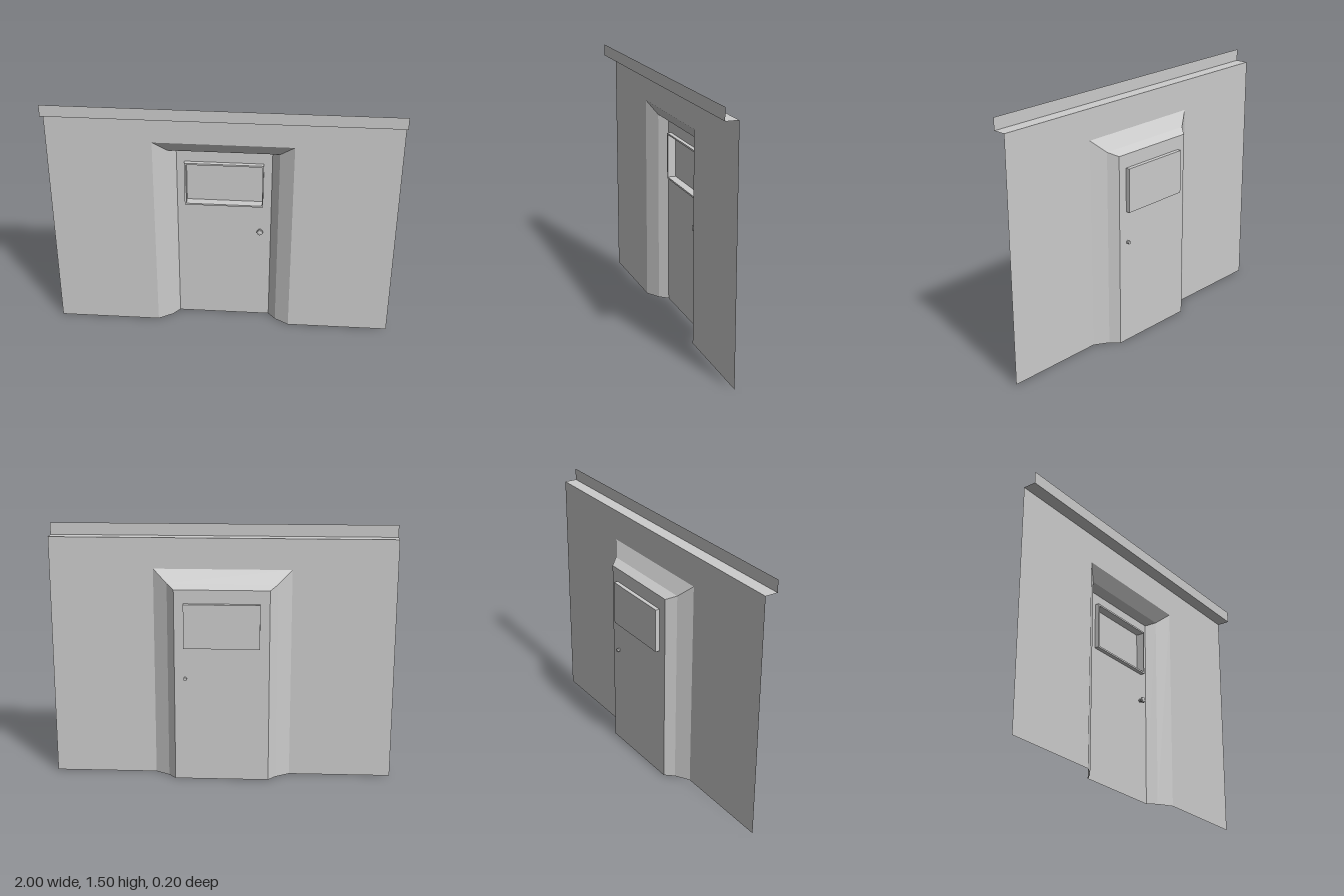
import * as THREE from 'three';

const mat = new THREE.MeshStandardMaterial({ color: 0xcccccc, flatShading: true, side: THREE.DoubleSide });

function add(parent, name, geometry, x = 0, y = 0, z = 0) {
  const mesh = new THREE.Mesh(geometry, mat);
  mesh.name = name;
  mesh.position.set(x, y, z);
  parent.add(mesh);
  return mesh;
}

const polygon = (pts) => new THREE.Shape(pts.map(([x, y]) => new THREE.Vector2(x, y)));
const rect = (x0, y0, x1, y1) => polygon([[x0, y0], [x1, y0], [x1, y1], [x0, y1]]);

// Open sheet joining successive rows of points
function sheet(rows) {
  const pos = [];
  for (let r = 0; r < rows.length - 1; r++) {
    for (let i = 0; i < rows[r].length - 1; i++) {
      const a = rows[r][i], b = rows[r][i + 1], c = rows[r + 1][i + 1], d = rows[r + 1][i];
      pos.push(...a, ...b, ...c, ...a, ...c, ...d);
    }
  }
  const g = new THREE.BufferGeometry();
  g.setAttribute('position', new THREE.Float32BufferAttribute(pos, 3));
  g.computeVertexNormals();
  return g;
}

export function createModel() {
  const model = new THREE.Group();
  model.name = 'wallWithDoor';
  const wallZ = 0.025, doorZ = -0.075, lipZ = 0.1, wallTop = 1.43;

  // Wall sheet with a doorway notch
  add(model, 'wall', new THREE.ShapeGeometry(polygon([
    [-1, 0], [-0.4, 0], [-0.4, 1.25], [0.4, 1.25], [0.4, 0], [1, 0], [1, wallTop], [-1, wallTop],
  ])), 0, 0, wallZ);

  // Ledge and upright lip along the top
  add(model, 'topLedge', sheet([
    [[-1, wallTop, wallZ], [-1, wallTop, lipZ], [-1, 1.5, lipZ]],
    [[1, wallTop, wallZ], [1, wallTop, lipZ], [1, 1.5, lipZ]],
  ]));

  // Splayed surround stepping back to the door
  const arch = ([w, h, z]) => [[-w, 0, z], [-w, h, z], [w, h, z], [w, 0, z]];
  add(model, 'doorSurround', sheet(
    [[0.4, 1.25, wallZ], [0.318, 1.175, -0.025], [0.275, 1.15, doorZ]].map(arch)));

  // Door panel with window opening
  const x0 = -0.22, x1 = 0.22, y0 = 0.81, y1 = 1.07;
  const panel = rect(-0.275, 0, 0.275, 1.15);
  panel.holes.push(rect(x0, y0, x1, y1));
  add(model, 'door', new THREE.ShapeGeometry(panel), 0, 0, doorZ);

  // Raised window frame on the front
  const rim = rect(x0 - 0.01, y0 - 0.01, x1 + 0.007, y1 + 0.01);
  rim.holes.push(rect(x0, y0, x1, y1));
  add(model, 'windowFrame', new THREE.ExtrudeGeometry(rim, { depth: 0.025, bevelEnabled: false }), 0, 0, doorZ);

  // Window recess, standing proud at the back
  const ring = (z) => [[x0, y0, z], [x1, y0, z], [x1, y1, z], [x0, y1, z], [x0, y0, z]];
  add(model, 'windowRecess', sheet([ring(doorZ), ring(-0.1)]));
  add(model, 'windowPane', new THREE.ShapeGeometry(rect(x0, y0, x1, y1)), 0, 0, -0.1);

  // Door knob: spindle through the door, rounded grip in front
  const knob = new THREE.Group();
  knob.name = 'doorKnob';
  knob.position.set(0.212, 0.624, doorZ);
  model.add(knob);
  const spindle = new THREE.CylinderGeometry(0.01, 0.01, 0.038, 8).rotateX(Math.PI / 2);
  add(knob, 'spindle', spindle, 0, 0, 0.001);
  const grip = new THREE.LatheGeometry(
    [[0, 0.014], [0.014, 0.016], [0.02, 0.022], [0.017, 0.03], [0, 0.034]].map(([r, y]) => new THREE.Vector2(r, y)), 8);
  add(knob, 'grip', grip.rotateX(Math.PI / 2));

  return model;
}
